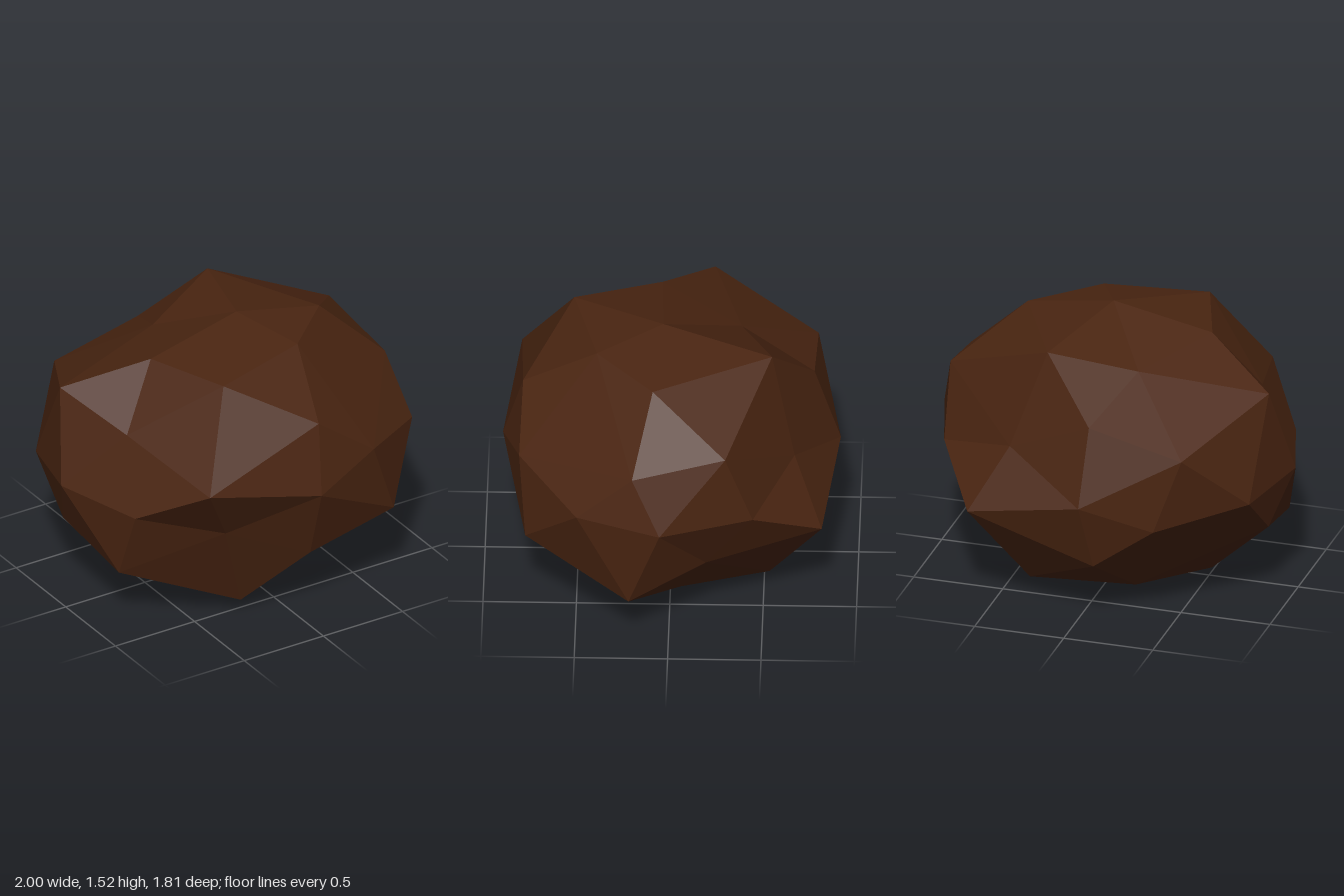
import * as THREE from 'three';

// Displacement rules for a once-subdivided icosahedron: [regular corner, shifted corner].
// Each rule also holds under cyclic axis swaps and point reflection.
const RULES = [
  [[1, 0, 0], [1, 0.05, 0.05]],
  [[0.526, 0.851, 0], [0.545, 0.88, 0.1]],
  [[-0.526, 0.851, 0], [-0.5, 0.844, 0.066]],
  [[0.809, 0.5, 0.309], [0.895, 0.44, 0.215]],
  [[-0.809, 0.5, 0.309], [-0.738, 0.408, 0.22]],
  [[0.809, -0.5, 0.309], [0.903, -0.6, 0.235]],
  [[0.809, 0.5, -0.309], [0.855, 0.588, -0.337]],
];

const cycle = (p, s) => [0, 1, 2].map((i) => p[(i + s) % 3]);

function displace(v) {
  for (const [from, to] of RULES) {
    for (let s = 0; s < 3; s++) {
      for (const sign of [1, -1]) {
        const a = new THREE.Vector3(...cycle(from, s)).multiplyScalar(sign);
        if (a.distanceTo(v) < 0.05) {
          return v.set(...cycle(to, s)).multiplyScalar(sign);
        }
      }
    }
  }
  return v;
}

export function createModel() {
  const group = new THREE.Group();
  group.name = 'boulder';

  const darkBrown = new THREE.MeshStandardMaterial({ color: 0x4a2511 });
  darkBrown.name = 'darkBrown';
  darkBrown.flatShading = true;

  // Faceted lump, squashed and resting on the ground
  const geo = new THREE.IcosahedronGeometry(1, 1);
  const pos = geo.attributes.position;
  const v = new THREE.Vector3();
  for (let i = 0; i < pos.count; i++) {
    displace(v.fromBufferAttribute(pos, i));
    pos.setXYZ(i, v.x, v.y, v.z);
  }
  geo.scale(1, 0.762, 0.903);
  geo.translate(0, 0.762, 0);
  geo.computeVertexNormals();

  const rock = new THREE.Mesh(geo, darkBrown);
  rock.name = 'rock';
  group.add(rock);
  return group;
}
